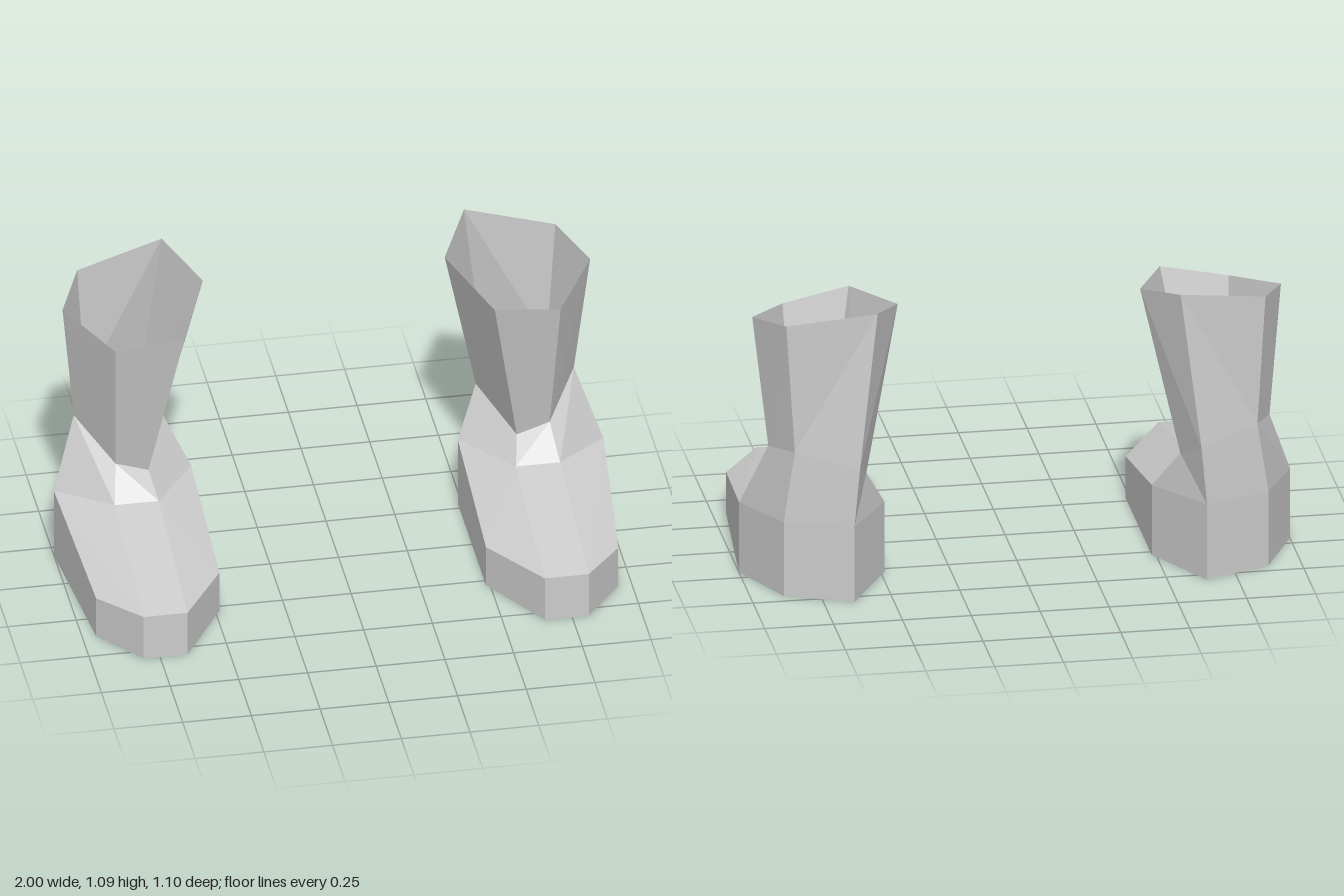
import * as THREE from 'three';

const material = new THREE.MeshStandardMaterial({
  color: 0xcccccc, flatShading: true, side: THREE.DoubleSide,
});

// Key corners of one boot (+x side), listed from the front, past the inner side, round the heel.
const toeOut = [0.81, 0.175, 0.55], toeIn = [0.65, 0.175, 0.55];
const ballIn = [0.485, 0.16, 0.28], ballOut = [0.95, 0.16, 0.37];
const sideIn = [0.485, 0.27, -0.28], sideOut = [1.0, 0.27, -0.2];
const heelBack = [0.64, 0.29, -0.55], heelOut = [0.88, 0.285, -0.45];
const instepOut = [0.81, 0.295, -0.025], instepIn = [0.65, 0.295, -0.025];

const welt = [toeOut, toeIn, ballIn, sideIn, heelBack, heelOut, sideOut, ballOut];
const ground = welt.map(([x, , z]) => [x, 0, z]);
const collar = [instepOut, instepIn, sideIn, heelBack, heelOut, sideOut];
const ankle = [
  [0.79, 0.41, -0.12], [0.67, 0.37, -0.12], [0.57, 0.43, -0.39],
  [0.62, 0.51, -0.55], [0.84, 0.55, -0.45], [0.91, 0.52, -0.295],
];
const rim = [
  [0.81, 0.95, -0.01], [0.565, 0.99, 0.02], [0.44, 1.035, -0.295],
  [0.55, 1.09, -0.515], [0.87, 1.035, -0.445], [0.96, 1.0, -0.245],
];

// Triangles joining two matching loops (or open strips)
function bridge(lower, upper, closed = true) {
  const tris = [], n = lower.length;
  for (let i = 0; i < (closed ? n : n - 1); i++) {
    const j = (i + 1) % n;
    tris.push([lower[j], lower[i], upper[i]], [lower[j], upper[i], upper[j]]);
  }
  return tris;
}

// Triangle fan over a convex outline
function fan(loop) {
  return loop.slice(2).map((p, i) => [loop[0], loop[i + 1], p]);
}

// Faceted mesh; side = -1 mirrors it and flips the winding
function part(name, tris, side) {
  const points = tris.flatMap((t) => (side < 0 ? [...t].reverse() : t))
    .flatMap(([x, y, z]) => [x * side, y, z]);
  const geometry = new THREE.BufferGeometry();
  geometry.setAttribute('position', new THREE.Float32BufferAttribute(points, 3));
  geometry.computeVertexNormals();
  const mesh = new THREE.Mesh(geometry, material);
  mesh.name = name;
  return mesh;
}

function boot(name, side) {
  const group = new THREE.Group();
  group.name = name;
  group.add(
    part('sole', fan(ground), side),
    part('footWall', bridge(ground, welt), side),
    // Sloping top of the foot
    part('vamp', bridge(
      [ballOut, toeOut, toeIn, ballIn],
      [sideOut, instepOut, instepIn, sideIn], false), side),
    // Narrowing from foot to ankle
    part('ankle', bridge(collar, ankle), side),
    // Open flared shaft
    part('shaft', bridge(ankle, rim), side),
  );
  return group;
}

export function createModel() {
  const model = new THREE.Group();
  model.name = 'boots';
  model.add(boot('leftBoot', 1), boot('rightBoot', -1));
  return model;
}
